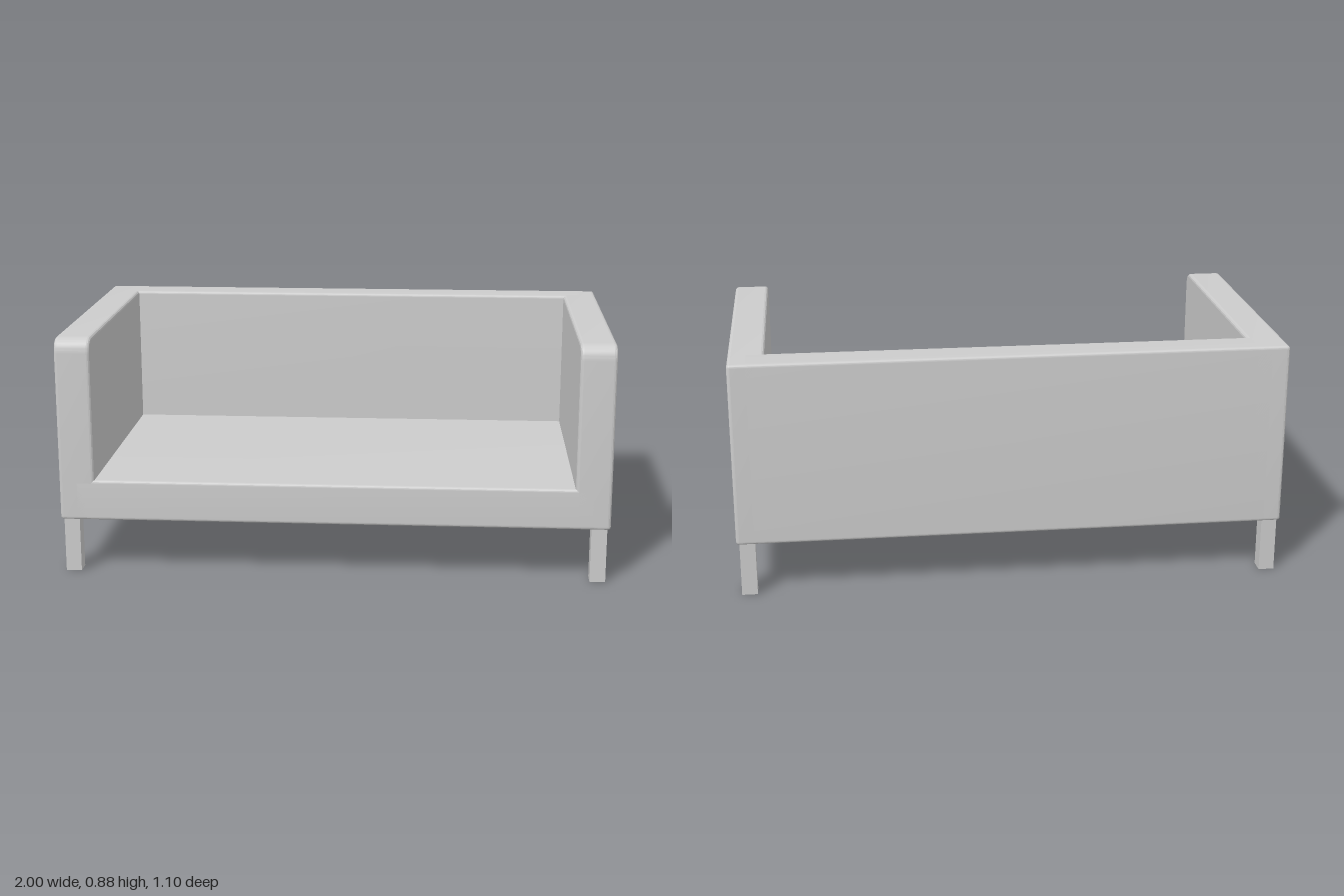
import * as THREE from 'three';
import { toCreasedNormals } from 'three/addons/utils/BufferGeometryUtils.js';

const BOTTOM = 0.2, TOP = 0.875, SEAT = 0.35;
const DEPTH = 0.55, BACK_FRONT = -0.42, ARM = 0.13, EDGE = 0.012;

// Outline from [z, y, cornerRadius] points, each corner rounded
function roundedOutline(points) {
  const shape = new THREE.Shape();
  points.forEach(([x, y, r], i) => {
    const corner = new THREE.Vector2(x, y);
    const toward = (j) => {
      const [px, py] = points[(j + points.length) % points.length];
      return new THREE.Vector2(px - x, py - y).setLength(r).add(corner);
    };
    const start = toward(i - 1), end = toward(i + 1);
    if (i === 0) shape.moveTo(start.x, start.y);
    else shape.lineTo(start.x, start.y);
    if (r > 0) shape.quadraticCurveTo(x, y, end.x, end.y);
  });
  shape.closePath();
  return shape;
}

// Extrude a side profile across the width, centred on x = 0
function acrossWidth(shape, width, bevel) {
  const geometry = new THREE.ExtrudeGeometry(shape, {
    depth: width - 2 * bevel,
    bevelEnabled: bevel > 0,
    bevelThickness: bevel,
    bevelSize: bevel,
    bevelOffset: -bevel,
    bevelSegments: 3,
    curveSegments: 10,
  });
  geometry.translate(0, 0, bevel - width / 2);
  geometry.rotateY(-Math.PI / 2);
  return toCreasedNormals(geometry, 0.2);
}

export function createModel() {
  const sofa = new THREE.Group();
  sofa.name = 'sofa';
  const upholstery = new THREE.MeshStandardMaterial({ color: 0xcccccc, side: THREE.DoubleSide });
  upholstery.name = 'light grey';

  const add = (name, geometry, x = 0, y = 0, z = 0) => {
    const mesh = new THREE.Mesh(geometry, upholstery);
    mesh.name = name;
    mesh.position.set(x, y, z);
    sofa.add(mesh);
  };

  // Seat and backrest: one L-shaped profile whose ends run into the arms
  const seatProfile = roundedOutline([
    [-DEPTH, BOTTOM, EDGE], [DEPTH, BOTTOM, EDGE], [DEPTH, SEAT, EDGE],
    [BACK_FRONT, SEAT, 0], [BACK_FRONT, TOP, EDGE], [-DEPTH, TOP, EDGE],
  ]);
  add('seatAndBack', acrossWidth(seatProfile, 2 - ARM, 0));

  // Arms: full-depth slabs with a larger round at the upper front
  const armProfile = roundedOutline([
    [-DEPTH, BOTTOM, EDGE], [DEPTH, BOTTOM, EDGE], [DEPTH, TOP, 0.055], [-DEPTH, TOP, EDGE],
  ]);
  const armGeometry = acrossWidth(armProfile, ARM, EDGE);

  // Legs: square tubes, open at the foot
  const legGeometry = new THREE.CylinderGeometry(0.0283 * Math.SQRT2, 0.0283 * Math.SQRT2, BOTTOM, 4, 1, true)
    .rotateY(Math.PI / 4).toNonIndexed();
  legGeometry.computeVertexNormals();

  for (const side of [1, -1]) {
    const label = side > 0 ? 'left' : 'right';
    add(label + 'Arm', armGeometry, side * (1 - ARM / 2));
    add(label + 'FrontLeg', legGeometry, side * 0.96, BOTTOM / 2, 0.511);
    add(label + 'BackLeg', legGeometry, side * 0.96, BOTTOM / 2, -0.511);
  }
  return sofa;
}
